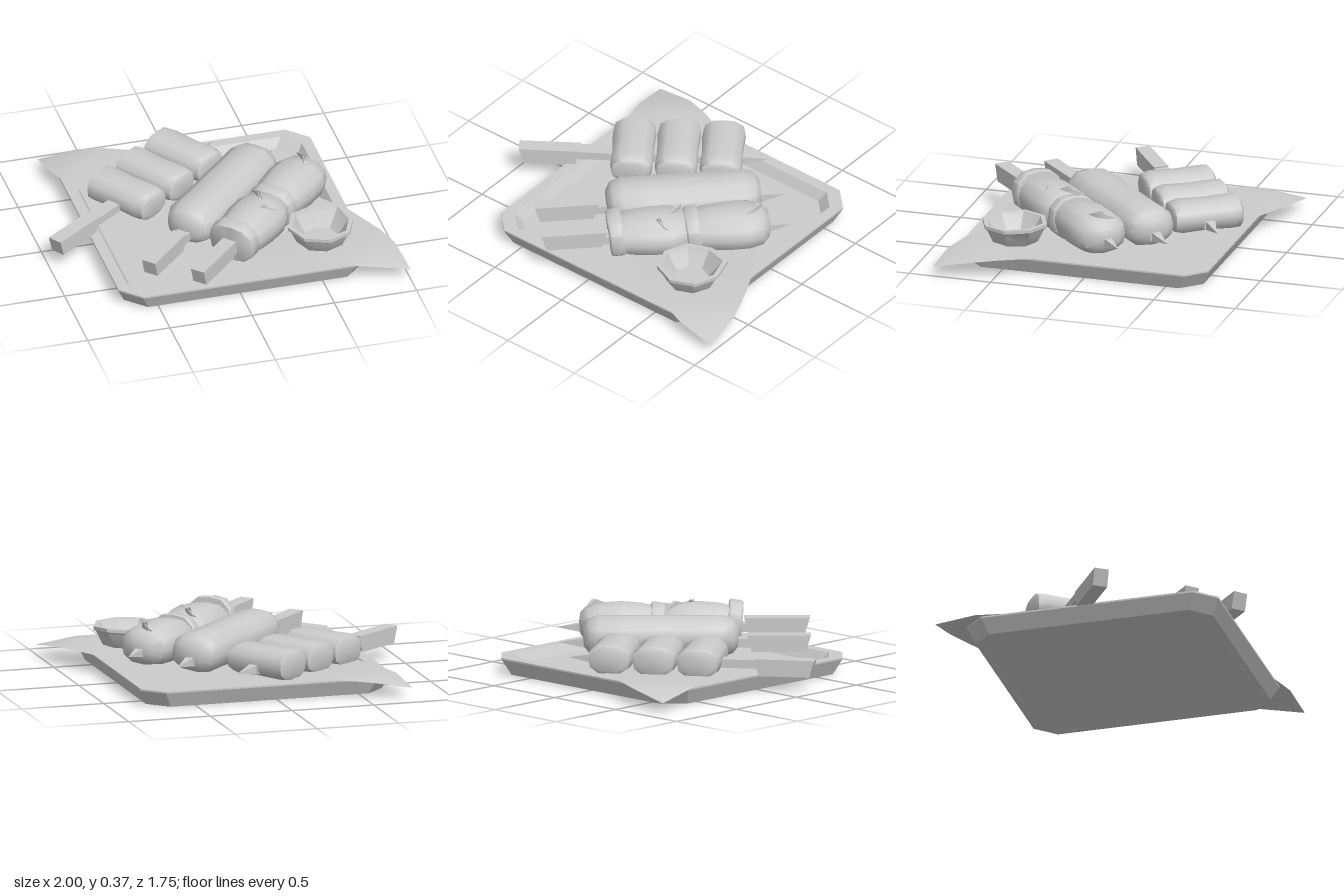
import * as THREE from 'three';
import { toCreasedNormals } from 'three/addons/utils/BufferGeometryUtils.js';

const grey = new THREE.MeshStandardMaterial({ color: 0xcccccc });
const greyDouble = new THREE.MeshStandardMaterial({ color: 0xcccccc, side: THREE.DoubleSide });

function add(parent, name, geometry, x = 0, y = 0, z = 0, material = grey) {
  const mesh = new THREE.Mesh(geometry, material);
  mesh.name = name;
  mesh.position.set(x, y, z);
  parent.add(mesh);
  return mesh;
}

// Chamfered square tray from rings of [half size, chamfer, height], capped at both ends
function trayGeometry(rings) {
  const loops = rings.map(([h, c, y]) => {
    const k = h - c;
    return [[h, k], [k, h], [-k, h], [-h, k], [-h, -k], [-k, -h], [k, -h], [h, -k]]
      .map(([x, z]) => [x, y, z]);
  });
  const pos = [];
  const tri = (a, b, c) => pos.push(...a, ...b, ...c);
  for (let r = 0; r < loops.length - 1; r++) {
    for (let i = 0; i < 8; i++) {
      const j = (i + 1) % 8, a = loops[r], b = loops[r + 1];
      tri(a[i], b[i], b[j]);
      tri(a[i], b[j], a[j]);
    }
  }
  const first = loops[0], last = loops[loops.length - 1];
  for (let i = 1; i < 7; i++) {
    tri(first[0], first[i], first[i + 1]);
    tri(last[0], last[i + 1], last[i]);
  }
  const g = new THREE.BufferGeometry();
  g.setAttribute('position', new THREE.Float32BufferAttribute(pos, 3));
  g.computeVertexNormals();
  return g;
}

// Pointed diagonal sheet from stations of [distance, half width, centre height, edge height]
function sheetGeometry(stations) {
  const pos = [], index = [];
  stations.forEach(([u, w, yc, ye], i) => {
    for (const s of [-1, 0, 1]) pos.push(u, s ? ye : yc, s * w);
    if (!i) return;
    for (let k = 0; k < 2; k++) {
      const a = (i - 1) * 3 + k, b = a + 3;
      index.push(a, a + 1, b, b, a + 1, b + 1);
    }
  });
  const g = new THREE.BufferGeometry();
  g.setAttribute('position', new THREE.Float32BufferAttribute(pos, 3));
  g.setIndex(index);
  g.computeVertexNormals();
  return g;
}

// Piece lying along x, from [x, radius] pairs; squarish section, squashed and gently uneven
function turned(profile, sides, heightScale, squareness, wobble) {
  const g = new THREE.LatheGeometry(profile.map(([x, r]) => new THREE.Vector2(r, x)), sides);
  g.rotateZ(-Math.PI / 2);
  const p = g.attributes.position;
  for (let i = 0; i < p.count; i++) {
    const x = p.getX(i), a = Math.atan2(p.getY(i), p.getZ(i));
    const square = (Math.abs(Math.cos(a)) ** squareness + Math.abs(Math.sin(a)) ** squareness) ** (-1 / squareness);
    const k = square * (1 + wobble * Math.sin(x * 17) * Math.cos(a * 2));
    p.setXYZ(i, x, p.getY(i) * k * heightScale, p.getZ(i) * k);
  }
  return toCreasedNormals(g, 0.85);
}

// Flat handle with a sloping shoulder, thin stick and pointed tip along local x
function makeSkewer(parent, name, x, z, angle, start, neck, tip, handleY, stickY) {
  const group = new THREE.Group();
  group.name = name;
  group.position.set(x, 0, z);
  group.rotation.y = angle;
  parent.add(group);
  const handle = new THREE.BoxGeometry(neck - start, 0.1, 0.088);
  const p = handle.attributes.position;
  for (let i = 0; i < p.count; i++) {
    if (p.getY(i) < 0) p.setX(i, p.getX(i) + (p.getX(i) < 0 ? 0.03 : -0.03));
  }
  handle.computeVertexNormals();
  add(group, 'skewerHandle', handle, (start + neck) / 2, handleY, 0);
  const stickEnd = tip - 0.15;
  const stick = new THREE.BoxGeometry(stickEnd - neck + 0.04, 0.05, 0.07);
  const q = stick.attributes.position;
  for (let i = 0; i < q.count; i++) if (q.getX(i) < 0) q.setZ(i, q.getZ(i) * 1.2);
  stick.computeVertexNormals();
  add(group, 'skewerStick', stick, (stickEnd + neck - 0.04) / 2, stickY, 0);
  const point = new THREE.ConeGeometry(0.04, 0.16, 4);
  point.rotateY(Math.PI / 4);
  point.rotateZ(-Math.PI / 2);
  add(group, 'skewerTip', toCreasedNormals(point, 0.3), tip - 0.08, stickY, 0);
  return group;
}

// Thin crescent whose upper edge tapers down to both ends, used as a garnish
function crescentGeometry() {
  const s = new THREE.Shape();
  s.moveTo(0, -0.09);
  s.quadraticCurveTo(0.065, 0, 0, 0.09);
  s.quadraticCurveTo(0.02, 0, 0, -0.09);
  const g = new THREE.ExtrudeGeometry(s, { depth: 0.042, bevelEnabled: false, curveSegments: 6 });
  g.rotateX(-Math.PI / 2);
  const p = g.attributes.position;
  for (let i = 0; i < p.count; i++) p.setY(i, p.getY(i) * (1 - Math.abs(p.getZ(i)) / 0.1));
  g.computeVertexNormals();
  return g;
}

export function createModel() {
  const model = new THREE.Group();
  model.name = 'skewerPlatter';

  // Tray with a foot ring, sloped wall, flat rim and sunken floor
  add(model, 'tray', trayGeometry([
    [0.675, 0.1, 0.01], [0.7, 0.11, 0], [0.722, 0.115, 0], [0.765, 0.12, 0.09], [0.765, 0.12, 0.1],
    [0.7, 0.1, 0.1], [0.665, 0.1, 0.042],
  ]), 0.045, 0, 0.025);

  // Paper liner lying across the tray with drooping corners
  const half = [[1.237, 0.005, 0.06, 0.06], [1.06, 0.15, 0.115, 0.1], [0.92, 0.22, 0.125, 0.112],
    [0.65, 0.32, 0.115, 0.115], [0.45, 0.365, 0.1, 0.103], [0.2, 0.385, 0.098, 0.098]];
  const stations = [...half.map(([u, ...rest]) => [-u, ...rest]), ...half.slice().reverse()];
  const liner = add(model, 'paperLiner', sheetGeometry(stations), 0.115, 0, -0.015, greyDouble);
  liner.rotation.y = -0.774;

  // Skewer with three crosswise rolls
  const rolls = makeSkewer(model, 'rollSkewer', -0.21, -0.345, THREE.MathUtils.degToRad(35),
    -0.93, -0.57, 0.535, 0.142, 0.16);
  const rollGeo = turned([[-0.2, 0], [-0.212, 0.085], [-0.2, 0.112], [-0.15, 0.126], [0, 0.12],
    [0.15, 0.127], [0.2, 0.122], [0.214, 0.095], [0.205, 0]], 12, 0.71, 2.8, 0.02);
  rollGeo.rotateY(Math.PI / 2);
  for (let i = -1; i <= 1; i++) add(rolls, 'roll', rollGeo, i * 0.262, 0.19 + i * 0.003, 0);

  // Skewer with one long rounded sausage
  const long = makeSkewer(model, 'sausageSkewer', 0.1, -0.01, Math.PI / 4,
    -0.877, -0.5, 0.605, 0.172, 0.175);
  add(long, 'sausage', turned([[-0.455, 0], [-0.45, 0.08], [-0.42, 0.13], [-0.36, 0.155],
    [-0.2, 0.152], [0.0, 0.155], [0.2, 0.152], [0.36, 0.155], [0.42, 0.132], [0.452, 0.08],
    [0.458, 0]], 12, 0.76, 2.5, 0.03), 0, 0.213, 0);

  // Skewer with two barrel pieces, each behind a thick slice
  const barrels = makeSkewer(model, 'barrelSkewer', 0.19, 0.36, Math.PI / 4,
    -0.675, -0.29, 0.806, 0.21, 0.2);
  const barrelGeo = turned([[-0.22, 0], [-0.22, 0.13], [-0.15, 0.152], [-0.03, 0.165], [0.09, 0.16],
    [0.17, 0.138], [0.212, 0.085], [0.222, 0]], 12, 0.75, 2.5, 0.03);
  const sliceGeo = turned([[-0.042, 0], [-0.042, 0.135], [-0.032, 0.145], [0.032, 0.148],
    [0.042, 0.14], [0.042, 0]], 12, 0.87, 2.6, 0);
  [0, 0.455].forEach((x, i) => {
    add(barrels, 'barrelPiece', barrelGeo, x, 0.222, 0);
    add(barrels, 'slice', sliceGeo, x - 0.235, 0.23 - i * 0.015, 0).rotation.z = 0.1;
  });

  // Curled garnishes on the barrel pieces
  const garnishGeo = crescentGeometry();
  for (const [x, y, z, turn] of [[0.23, 0.32, 0.26, 0], [0.25, 0.31, 0.38, -1.9], [0.59, 0.325, -0.05, 0]]) {
    const g = add(model, 'garnish', garnishGeo, x, y, z);
    g.rotation.y = turn;
    if (turn) g.scale.set(0.8, 1, 0.8);
  }

  // Eight-sided flared sauce bowl with one raised rim corner
  const bowlProfile = [[0, 0.105], [0.125, 0.105], [0.145, 0.125], [0.182, 0.2], [0.198, 0.212],
    [0.198, 0.232], [0.17, 0.232], [0.162, 0.215], [0.106, 0.135], [0, 0.135]];
  const bowlGeo = new THREE.LatheGeometry(bowlProfile.map(([r, y]) => new THREE.Vector2(r, y)), 8);
  const bp = bowlGeo.attributes.position;
  for (let i = 0; i < bp.count; i++) {
    const corner = bp.getX(i) > 0.1 && bp.getZ(i) < -0.1 && bp.getY(i) > 0.2;
    if (corner) bp.setXYZ(i, bp.getX(i) * 1.15, bp.getY(i) + 0.012, bp.getZ(i) * 1.06);
  }
  add(model, 'sauceBowl', toCreasedNormals(bowlGeo, 0.4), 0.56, 0, 0.49);

  return model;
}
